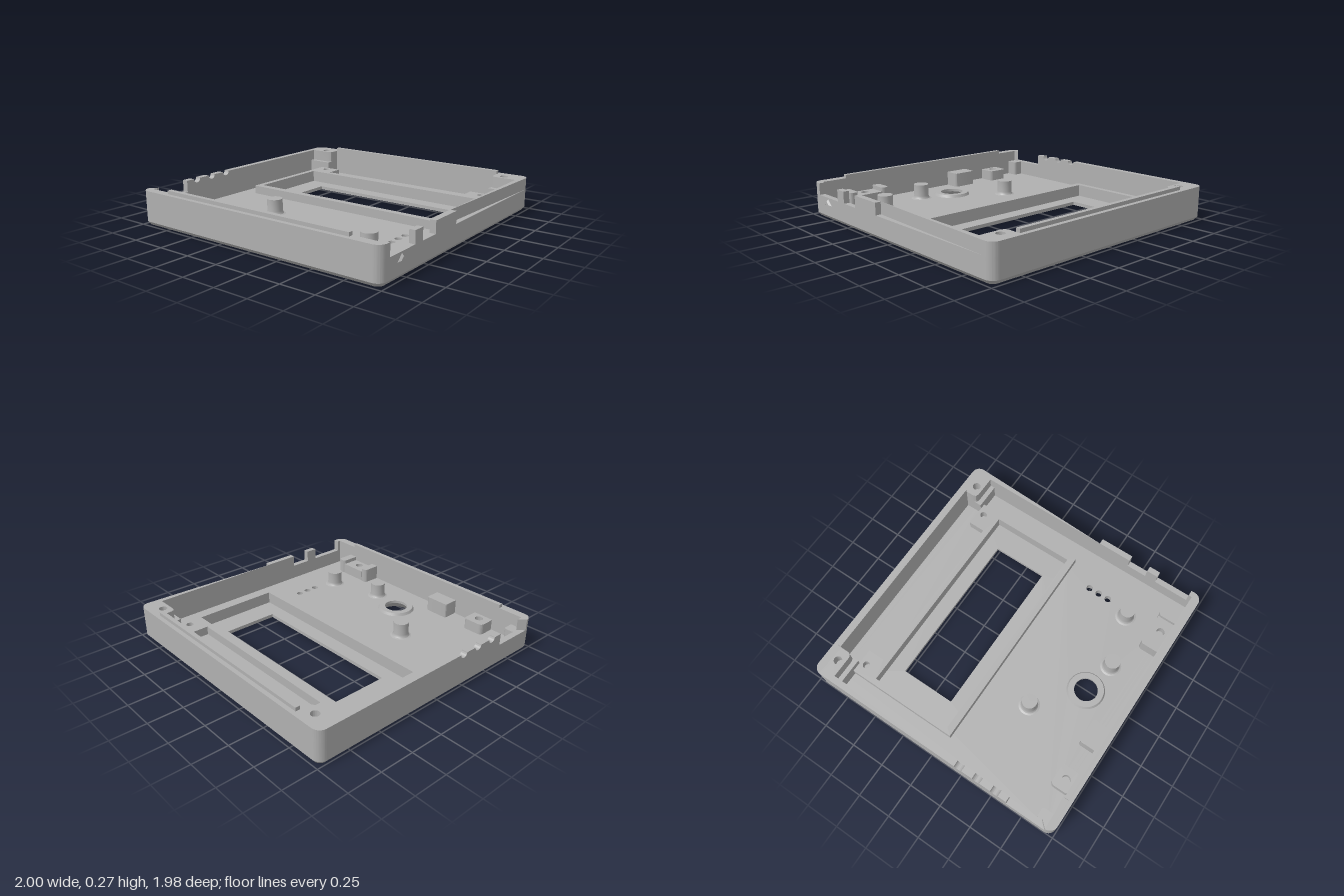
import * as THREE from 'three';
import { toCreasedNormals } from 'three/addons/utils/BufferGeometryUtils.js';

const X0 = -1, X1 = 0.987, Z = 0.988;          // outer footprint
const IX0 = -0.955, IX1 = 0.945, IZ = 0.925;   // inner faces of the walls
const FLOOR = 0.05, CUT = 0.16, RIM = 0.245, CHAMFER = 0.025;

// Plan outlines are given as [x, z]
const poly = (pts, C = THREE.Shape) => new C(pts.map(([x, z]) => new THREE.Vector2(x, -z)));
const rect = (x0, x1, z0, z1, C) => poly([[x0, z1], [x1, z1], [x1, z0], [x0, z0]], C);
const circle = (x, z, r) => new THREE.Path().absarc(x, -z, r, 0, Math.PI * 2);
function rounded(x0, x1, z0, z1, r) {
  const s = new THREE.Shape(), q = Math.PI / 2;
  s.absarc(x1 - r, -z0 - r, r, 0, q);
  s.absarc(x0 + r, -z0 - r, r, q, 2 * q);
  s.absarc(x0 + r, -z1 + r, r, 2 * q, 3 * q);
  s.absarc(x1 - r, -z1 + r, r, 3 * q, 4 * q);
  s.closePath();
  return s;
}

export function createModel() {
  const group = new THREE.Group();
  const grey = new THREE.MeshStandardMaterial({ color: 0xb0b0b0 });
  grey.name = 'grey plastic';

  const add = (name, geo) => {
    const m = new THREE.Mesh(toCreasedNormals(geo, 0.6), grey);
    m.name = name;
    group.add(m);
    return m;
  };
  // Vertical extrusion of a plan outline from y0 to y1
  const slab = (name, shape, y0, y1, holes = []) => {
    shape.holes.push(...holes);
    const g = new THREE.ExtrudeGeometry(shape, { depth: y1 - y0, bevelEnabled: false, curveSegments: 16 });
    g.rotateX(-Math.PI / 2).translate(0, y0, 0);
    return add(name, g);
  };
  const block = (name, x0, x1, y0, y1, z0, z1) => slab(name, rect(x0, x1, z0, z1), y0, y1);

  const knob = [-0.016, 0.647];
  const leds = [0.25, 0.33, 0.41];
  const screws = [[-0.853, -0.887], [0.835, -0.887], [-0.64, 0.87], [0.635, 0.87]];
  const floorHoles = () => [
    circle(...knob, 0.126),
    ...leds.map(z => circle(0.68, z, 0.025)),
    ...screws.map(([x, z]) => circle(x, z, 0.03)),
  ];

  // Floor: thin face plate with the window, upper layer with the display recess
  slab('facePlate', rounded(X0 + 0.02, X1 - 0.02, -Z + 0.02, Z - 0.02, 0.04), 0, CHAMFER,
    [rect(-0.617, 0.58, -0.52, -0.11, THREE.Path), ...floorHoles()]);
  slab('floor', rect(IX0 - 0.01, IX1 + 0.01, -IZ - 0.01, IZ + 0.01), CHAMFER, FLOOR,
    [rect(-0.793, 0.757, -0.63, -0.005, THREE.Path), ...floorHoles()]);

  // Chamfered bottom edge
  const low = rounded(X0 + 0.02, X1 - 0.02, -Z + 0.02, Z - 0.02, 0.04).getPoints(12);
  const high = rounded(X0, X1, -Z, Z, 0.06).getPoints(12);
  const pos = [], idx = [], n = low.length;
  low.forEach(p => pos.push(p.x, 0, -p.y));
  high.forEach(p => pos.push(p.x, CHAMFER, -p.y));
  for (let i = 0; i < n; i++) {
    const j = (i + 1) % n;
    idx.push(i, j, n + j, i, n + j, n + i);
  }
  const band = new THREE.BufferGeometry();
  band.setAttribute('position', new THREE.Float32BufferAttribute(pos, 3));
  band.setIndex(idx);
  add('bottomChamfer', band);

  // Lower wall ring, up to the height of the side cut-outs
  slab('lowerWall', rounded(X0, X1, -Z, Z, 0.06), CHAMFER, CUT, [rect(IX0, IX1, -IZ, IZ, THREE.Path)]);

  // Upper back wall with its two screw corners
  const R = 0.06, q = Math.PI / 2, back = new THREE.Shape();
  back.moveTo(X1, -0.15);
  back.absarc(X1 - R, Z - R, R, 0, q);
  back.absarc(X0 + R, Z - R, R, q, 2 * q);
  [[X0, 0.15], [IX0, 0.15], [IX0, -0.835], [-0.795, -0.835], [-0.773, -0.845], [-0.765, -0.865], [-0.765, -IZ],
    [0.755, -IZ], [0.755, -0.865], [0.763, -0.845], [0.785, -0.835], [IX1, -0.835], [IX1, 0.15]]
    .forEach(([x, z]) => back.lineTo(x, -z));
  slab('upperBackWall', back, CUT, RIM, screws.slice(0, 2).map(([x, z]) => circle(x, z, 0.03)));

  // Upper front wall
  const front = new THREE.Shape();
  front.moveTo(X0, -0.88);
  front.absarc(X0 + R, -Z + R, R, 2 * q, 3 * q);
  front.absarc(X1 - R, -Z + R, R, 3 * q, 4 * q);
  [[X1, 0.9], [IX1, 0.9], [IX1, IZ], [IX0, IZ], [IX0, 0.88]].forEach(([x, z]) => front.lineTo(x, -z));
  slab('upperFrontWall', front, CUT, RIM);

  // Upper right-hand wall in the plan: two stretches between the cut-outs
  block('upperSideWall', IX1, X1, CUT, RIM, 0.15, 0.405);
  block('sideWallPost', IX1, X1, CUT, RIM, 0.555, 0.64);

  // Opposite side wall with three round cable grooves
  const side = new THREE.Shape();
  side.moveTo(0.15, CUT);
  side.lineTo(0.625, CUT);
  side.lineTo(0.625, RIM);
  [0.53, 0.385, 0.24].forEach(c => side.absarc(c, RIM, 0.03, 0, -Math.PI, true));
  side.lineTo(0.15, RIM);
  const sideGeo = new THREE.ExtrudeGeometry(side, { depth: IX0 - X0, bevelEnabled: false, curveSegments: 12 });
  add('groovedSideWall', sideGeo.rotateY(-Math.PI / 2).translate(IX0, 0, 0));

  // Locating lips on the front and back rims
  for (const s of [-1, 1]) {
    const a = s * IZ, b = s * 0.957;
    block('rimLip', -0.765, 0.755, RIM - 0.02, 0.27, Math.min(a, b), Math.max(a, b));
  }

  // Back corner blocks with a lower step
  for (const [x0, x1] of [[IX0, -0.765], [0.755, IX1]]) {
    block('cornerBlock', x0, x1, FLOOR, CUT, -IZ, -0.835);
    block('cornerStep', x0, x1, FLOOR, CUT, -0.835, -0.8);
  }

  // Display frame with mounting ledges
  slab('displayFrame', poly([[-0.835, 0.045], [0.8, 0.045], [0.8, -0.8], [0.607, -0.8], [0.607, -0.675],
    [-0.65, -0.675], [-0.65, -0.8], [-0.835, -0.8]]), FLOOR, 0.112,
  [rect(-0.793, 0.757, -0.63, -0.005, THREE.Path), circle(-0.75, -0.75, 0.026), circle(0.72, -0.75, 0.026)]);

  // Support pins with a small fillet at the foot
  const lathe = pts => new THREE.LatheGeometry(pts.map(p => new THREE.Vector2(...p)), 32);
  for (const [x, z] of [[-0.33, 0.37], [0.24, 0.7], [0.635, 0.59]])
    add('supportPin', lathe([[0.077, FLOOR], [0.064, 0.054], [0.058, 0.062], [0.055, 0.075], [0.055, CUT], [0, CUT]])
      .translate(x, 0, z));

  // Conical knob opening with a raised rim
  add('knobOpening', lathe([[0.138, FLOOR], [0.128, 0.07], [0.085, 0.07], [0.085, FLOOR], [0.126, 0]])
    .translate(knob[0], 0, knob[1]));

  // Front screw posts and rests
  const postTop = 0.13;
  slab('screwPostBase', rounded(-0.72, -0.56, 0.795, 0.94, 0.03), FLOOR, 0.07);
  slab('screwPost', rounded(-0.72, -0.56, 0.795, 0.94, 0.03), 0.07, postTop, [circle(-0.64, 0.87, 0.03)]);
  block('screwPostBase', 0.53, 0.74, FLOOR, 0.07, 0.795, 0.94);
  slab('screwPost', rect(0.53, 0.74, 0.795, 0.94), 0.07, postTop, [circle(0.635, 0.87, 0.03)]);
  slab('connectorRest', rounded(0.475, 0.535, 0.79, 0.94, 0.025), FLOOR, CUT);
  slab('connectorRest', rounded(0.735, 0.8, 0.79, 0.94, 0.025), FLOOR, CUT);
  slab('boardRest', rounded(-0.375, -0.19, 0.81, 0.94, 0.015), FLOOR, CUT);
  slab('cornerRest', rounded(IX0 - 0.01, -0.88, 0.84, 0.94, 0.02), FLOOR, CUT);

  // Raised triangular marker beside the cut-out
  const tri = new THREE.CylinderGeometry(0.025, 0.052, 0.013, 3);
  tri.rotateZ(-Math.PI / 2).rotateX(-Math.PI / 2).scale(1, 0.58, 1).translate(X1 + 0.0065, 0.12, 0.78);
  add('triangleMarker', tri);

  return group;
}
